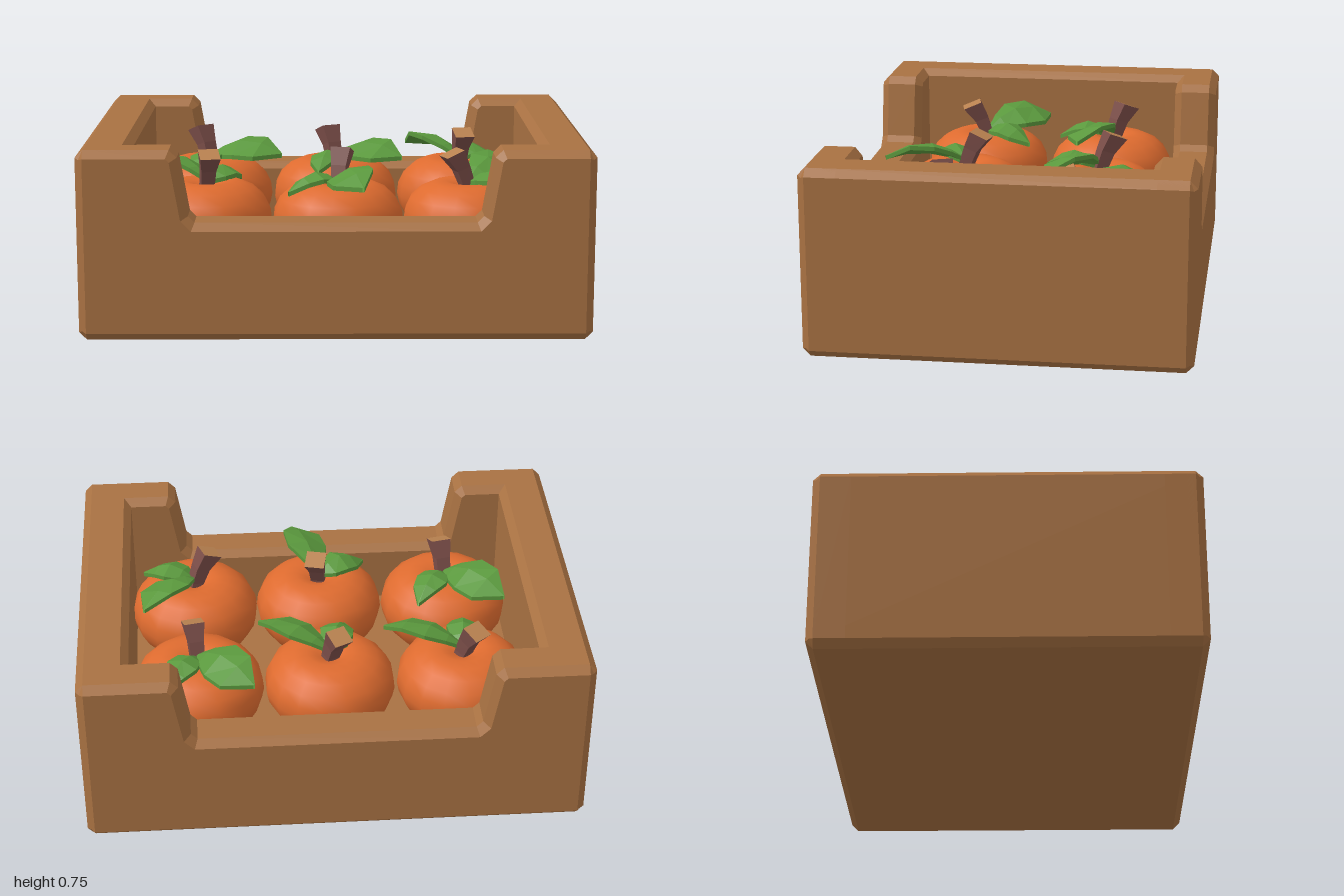
import * as THREE from 'three';

const mat = (name, color, extra = {}) => Object.assign(new THREE.MeshStandardMaterial({ color, ...extra }), { name });

// Slab with chamfered edges: outline in x/y, thickness along z, centred on z = 0
function chamferedSlab(points, thickness) {
  const b = 0.03;
  const shape = new THREE.Shape(points.map(([x, y]) => new THREE.Vector2(x, y)));
  const geo = new THREE.ExtrudeGeometry(shape, {
    depth: thickness - 2 * b, bevelEnabled: true, bevelThickness: b,
    bevelSize: b, bevelOffset: -b, bevelSegments: 1,
  });
  return geo.translate(0, 0, b - thickness / 2);
}

// Folded leaf along +x; each station is [x, rib y, -z width, -z y, +z width, +z y]
function leafGeometry(stations) {
  const pos = [], idx = [], t = 0.018;
  for (const [x, y, wl, yl, wr, yr] of stations) {
    pos.push(x, yl, -wl, x, y, 0, x, yr, wr, x, yr - t, wr, x, y - t, 0, x, yl - t, -wl);
  }
  for (let i = 0; i < stations.length - 1; i++) {
    for (let k = 0; k < 6; k++) {
      const a = i * 6 + k, b = i * 6 + (k + 1) % 6;
      idx.push(a, b, a + 6, b, b + 6, a + 6);
    }
  }
  const geo = new THREE.BufferGeometry();
  geo.setAttribute('position', new THREE.Float32BufferAttribute(pos, 3));
  geo.setIndex(idx);
  const flat = geo.toNonIndexed();
  flat.computeVertexNormals();
  return flat;
}

// Four-sided stem, flared at both ends and leaning towards +x
function stemGeometry() {
  const geo = new THREE.BoxGeometry(1, 1, 1, 1, 3, 1).toNonIndexed();
  // keep the material groups of the box: 6 vertices per quad
  geo.clearGroups();
  geo.addGroup(0, 36, 0);
  geo.addGroup(36, 6, 1);
  geo.addGroup(42, geo.attributes.position.count - 42, 0);
  const p = geo.attributes.position;
  for (let i = 0; i < p.count; i++) {
    const h = p.getY(i) + 0.5;
    const w = 0.05 + 0.07 * (h - 0.4) ** 2;
    const lean = 0.075 * h * h;
    p.setXYZ(i, p.getX(i) * w + lean, 0.465 + 0.195 * h - p.getX(i) * 0.03 * h, p.getZ(i) * w * 1.1);
  }
  geo.computeVertexNormals();
  return geo;
}

export function createModel() {
  const model = new THREE.Group();
  const wood = mat('crate wood', 0xa87142);
  const peel = mat('orange peel', 0xde6b2f);
  const green = mat('leaf green', 0x5a983d, { side: THREE.DoubleSide });
  const bark = mat('stem brown', 0x7a4d48);
  const cut = mat('stem cut', 0xb98250);

  const add = (parent, name, geo, material) => {
    const mesh = new THREE.Mesh(geo, material);
    mesh.name = name;
    parent.add(mesh);
    return mesh;
  };

  // Crate
  const crate = new THREE.Group();
  crate.name = 'crate';
  model.add(crate);
  const H = 0.748, c = 0.03;
  const notched = [
    [-1, c], [-1 + c, 0], [1 - c, 0], [1, c], [1, H - c], [1 - c, H],
    [0.64, H], [0.61, H - 0.03], [0.57, 0.49], [0.545, 0.465],
    [-0.545, 0.465], [-0.57, 0.49], [-0.61, H - 0.03], [-0.64, H], [-1 + c, H], [-1, H - c],
  ];
  const side = [
    [-0.75, c], [-0.75 + c, 0], [0.75 - c, 0], [0.75, c],
    [0.75, H - c], [0.75 - c, H], [-0.75 + c, H], [-0.75, H - c],
  ];
  for (const s of [1, -1]) {
    add(crate, s > 0 ? 'frontWall' : 'backWall', chamferedSlab(notched, 0.18), wood).position.z = s * 0.66;
    const wall = add(crate, s > 0 ? 'leftWall' : 'rightWall', chamferedSlab(side, 0.2), wood);
    wall.rotation.y = Math.PI / 2;
    wall.position.x = s * 0.9;
  }
  const floor = add(crate, 'floor', new THREE.BoxGeometry(1.94, 0.2, 1.44), wood);
  floor.position.y = 0.1;

  // Flattened fruit with a dimple on top
  const profile = new THREE.SplineCurve([
    [0.0, 0.21], [0.1, 0.2], [0.19, 0.24], [0.25, 0.32], [0.266, 0.39],
    [0.245, 0.465], [0.18, 0.523], [0.1, 0.541], [0.04, 0.52], [0.0, 0.495],
  ].map(([x, y]) => new THREE.Vector2(x, y))).getPoints(14);
  profile.forEach((p) => { p.x = Math.max(p.x, 0); });
  const fruitGeo = new THREE.LatheGeometry(profile, 16);
  const stemGeo = stemGeometry();

  const bigLeaf = leafGeometry([
    [0.0, 0.55, 0.005, 0.55, 0.005, 0.55],
    [0.06, 0.59, 0.045, 0.59, 0.05, 0.56],
    [0.14, 0.62, 0.085, 0.625, 0.09, 0.57],
    [0.24, 0.615, 0.07, 0.63, 0.095, 0.57],
    [0.335, 0.575, 0.004, 0.575, 0.004, 0.575],
  ]);
  const smallLeaf = leafGeometry([
    [0.0, 0.54, 0.005, 0.54, 0.005, 0.54],
    [0.05, 0.575, 0.05, 0.56, 0.06, 0.555],
    [0.11, 0.59, 0.068, 0.57, 0.07, 0.56],
    [0.165, 0.57, 0.045, 0.555, 0.058, 0.545],
    [0.235, 0.52, 0.004, 0.52, 0.004, 0.52],
  ]);

  // Six fruits: x, z, direction of the large leaf in degrees
  const fruits = [
    [-0.54, -0.3, 22], [0, -0.29, 33], [0.535, -0.285, 229],
    [-0.525, 0.25, 228], [0.01, 0.27, 73], [0.54, 0.265, 309],
  ];
  fruits.forEach(([x, z, deg], i) => {
    const fruit = new THREE.Group();
    fruit.name = `fruit${i + 1}`;
    fruit.position.set(x, 0, z);
    fruit.rotation.y = -THREE.MathUtils.degToRad(deg);
    model.add(fruit);
    add(fruit, 'fruitBody', fruitGeo, peel);
    add(fruit, 'stem', stemGeo, [bark, cut]).rotation.y = -THREE.MathUtils.degToRad(210);
    add(fruit, 'largeLeaf', bigLeaf, green);
    add(fruit, 'smallLeaf', smallLeaf, green).rotation.y = -THREE.MathUtils.degToRad(75);
  });

  return model;
}
